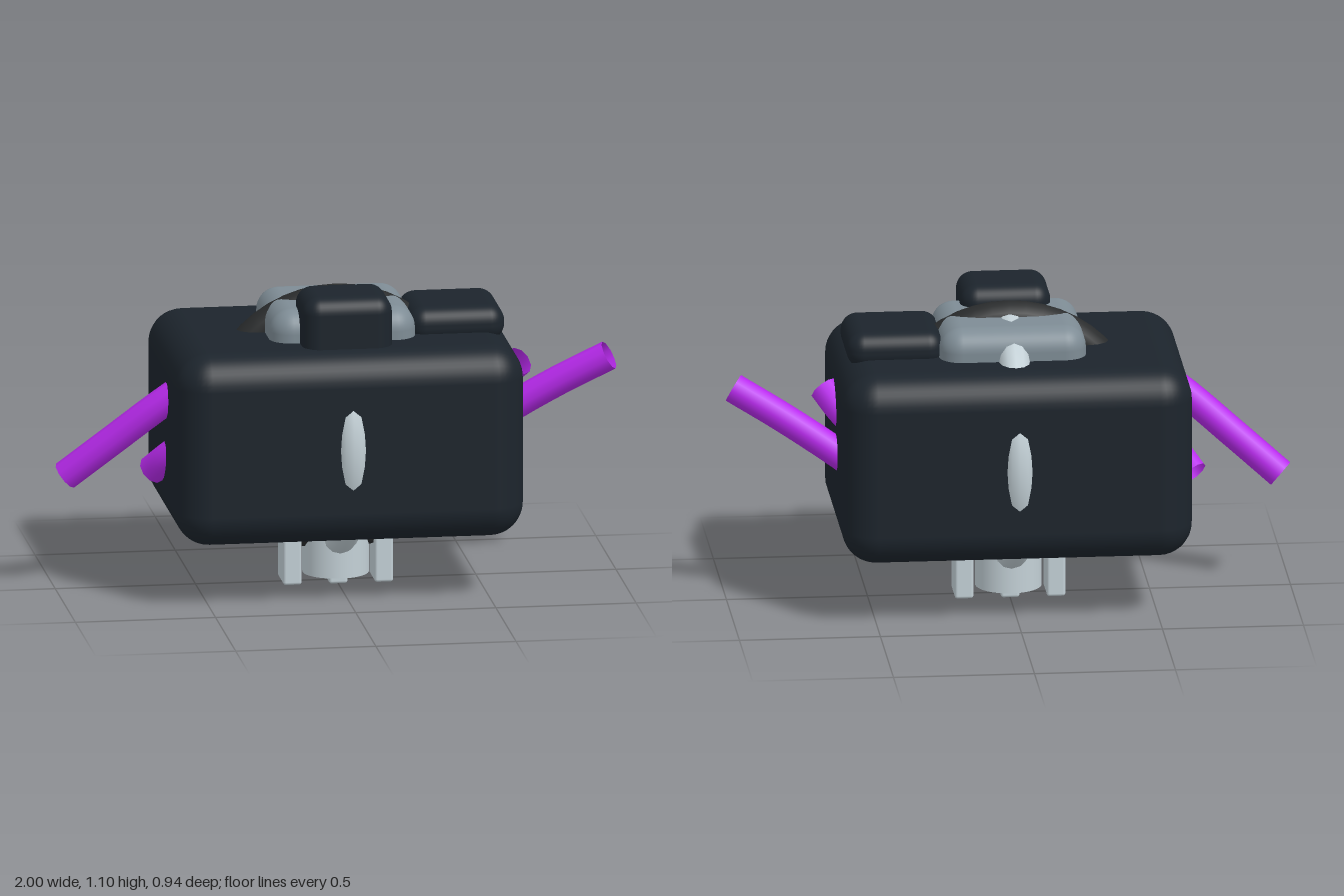
import * as THREE from 'three';
import { RoundedBoxGeometry } from 'three/addons/geometries/RoundedBoxGeometry.js';

export function createModel() {
  const model = new THREE.Group();
  const paint = (color, side = THREE.FrontSide) => new THREE.MeshStandardMaterial({ color, side });
  const dark = paint(0x1c242c);
  const grey = paint(0x7e8c95);
  const pale = paint(0xc3d0d6);
  const charcoal = paint(0x282a2b);
  const purple = paint(0xb92aee, THREE.DoubleSide);

  const add = (name, geometry, material, x = 0, y = 0, z = 0) => {
    const mesh = new THREE.Mesh(geometry, material);
    mesh.name = name;
    mesh.position.set(x, y, z);
    model.add(mesh);
    return mesh;
  };
  // Rounded block given by its lower and upper corners
  const block = (name, material, [x0, y0, z0], [x1, y1, z1], radius) =>
    add(name, new RoundedBoxGeometry(x1 - x0, y1 - y0, z1 - z0, 5, radius), material,
      (x0 + x1) / 2, (y0 + y1) / 2, (z0 + z1) / 2);

  // Main housing and the blocks on its top
  block('body', dark, [-0.62, 0.225, -0.445], [0.62, 0.92, 0.445], 0.12);
  block('topPlate', grey, [-0.26, 0.79, -0.235], [0.26, 1.03, 0.235], 0.08);
  block('frontTopBlock', dark, [-0.16, 0.82, 0.07], [0.16, 1.1, 0.34], 0.06);
  block('sideTopBlock', dark, [0.24, 0.88, -0.175], [0.585, 1.01, 0.17], 0.06);

  // Two crossed rings that break through the housing
  add('darkRing', new THREE.TorusGeometry(0.423, 0.06, 12, 48), charcoal, 0, 0.592, 0);
  add('paleRing', new THREE.TorusGeometry(0.413, 0.056, 12, 48), pale, 0, 0.575, 0)
    .rotation.y = Math.PI / 2;

  // Stem underneath with three prongs
  add('stem', new THREE.CylinderGeometry(0.118, 0.118, 0.3, 32), pale, 0, 0.18, 0);
  for (const x of [-0.163, 0, 0.163]) {
    block('prong', pale, [x - 0.033, 0, -0.072], [x + 0.033, 0.3, 0.072], 0.01);
  }

  // Curved open tubes leaving both sides
  const tube = (name, points) => {
    const path = new THREE.CatmullRomCurve3(points.map((p) => new THREE.Vector3(...p)));
    add(name, new THREE.TubeGeometry(path, 16, 0.053, 10, false), purple);
  };
  tube('leftLongTube', [[0.975, 0.78, 0], [0.8, 0.68, -0.055], [0.62, 0.565, -0.105], [0.42, 0.42, -0.14]]);
  tube('rightLongTube', [[-0.965, 0.41, 0], [-0.8, 0.55, 0.055], [-0.62, 0.7, 0.11], [-0.42, 0.84, 0.14]]);
  tube('leftShortTube', [[0.655, 0.77, 0], [0.6, 0.705, -0.06], [0.5, 0.61, -0.12]]);
  tube('rightShortTube', [[-0.655, 0.42, 0], [-0.6, 0.485, 0.06], [-0.5, 0.58, 0.12]]);

  return model;
}
